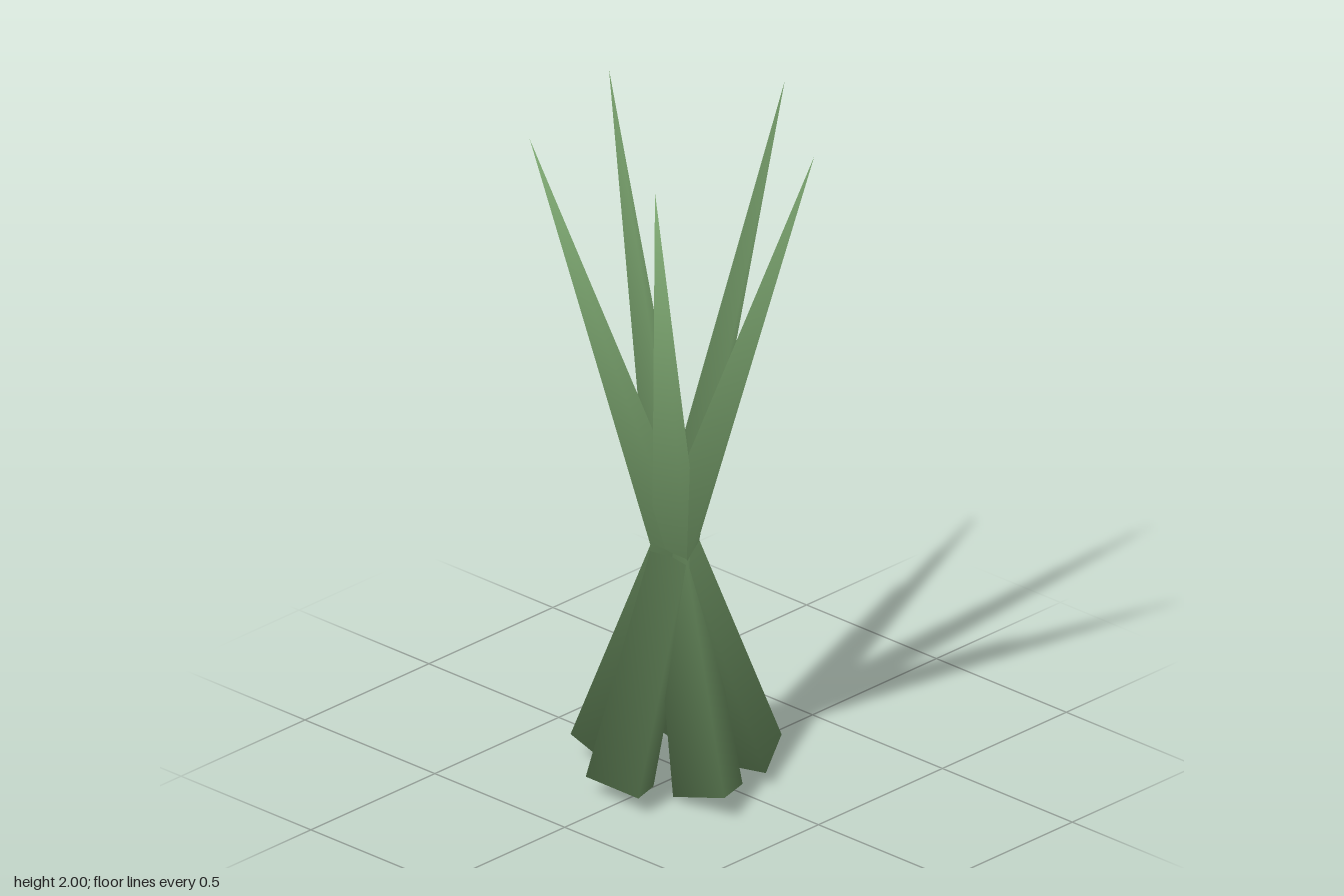
import * as THREE from 'three';

const UP = new THREE.Vector3(0, 1, 0);
const RADIUS = 0.117;

// Three-sided cone shaded as one smooth surface, with normals that roll over the base rim
function smoothSpike(height) {
  // thetaStart of PI puts one corner at the back and a flat side at the front
  const geometry = new THREE.ConeGeometry(RADIUS, height, 3, 1, false, Math.PI);
  const { position, normal } = geometry.attributes;
  const n = new THREE.Vector3();
  for (let i = 0; i < position.count; i++) {
    n.fromBufferAttribute(position, i);
    const axial = n.y > 0 ? 1 : -0.69;
    n.set(n.x / RADIUS, axial, n.z / RADIUS).normalize();
    normal.setXYZ(i, n.x, n.y, n.z);
  }
  return geometry;
}

export function createModel() {
  const plant = new THREE.Group();
  plant.name = 'spikyPlant';
  const material = new THREE.MeshStandardMaterial({ color: 0x7ca670 });

  // Spike from the centre of its base to its tip
  function addSpike(name, base, tip) {
    const from = new THREE.Vector3(...base);
    const to = new THREE.Vector3(...tip);
    const axis = to.clone().sub(from);
    const spike = new THREE.Mesh(smoothSpike(axis.length()), material);
    spike.name = name;
    spike.position.copy(from).add(to).multiplyScalar(0.5);
    spike.quaternion.setFromUnitVectors(UP, axis.normalize());
    plant.add(spike);
  }

  // Five spikes lean through a shared waist and fan out above and below it
  addSpike('backLeaf', [-0.003, 0.036, 0.25], [0.002, 2, -0.386]);
  addSpike('rightLeaf', [0.199, 0.036, 0.109], [-0.402, 2, -0.1]);
  addSpike('leftLeaf', [-0.204, 0.036, 0.105], [0.398, 2, -0.09]);
  addSpike('frontRightLeaf', [0.121, 0.036, -0.138], [-0.252, 2, 0.377]);
  addSpike('frontLeftLeaf', [-0.123, 0.036, -0.141], [0.237, 2, 0.384]);

  return plant;
}
